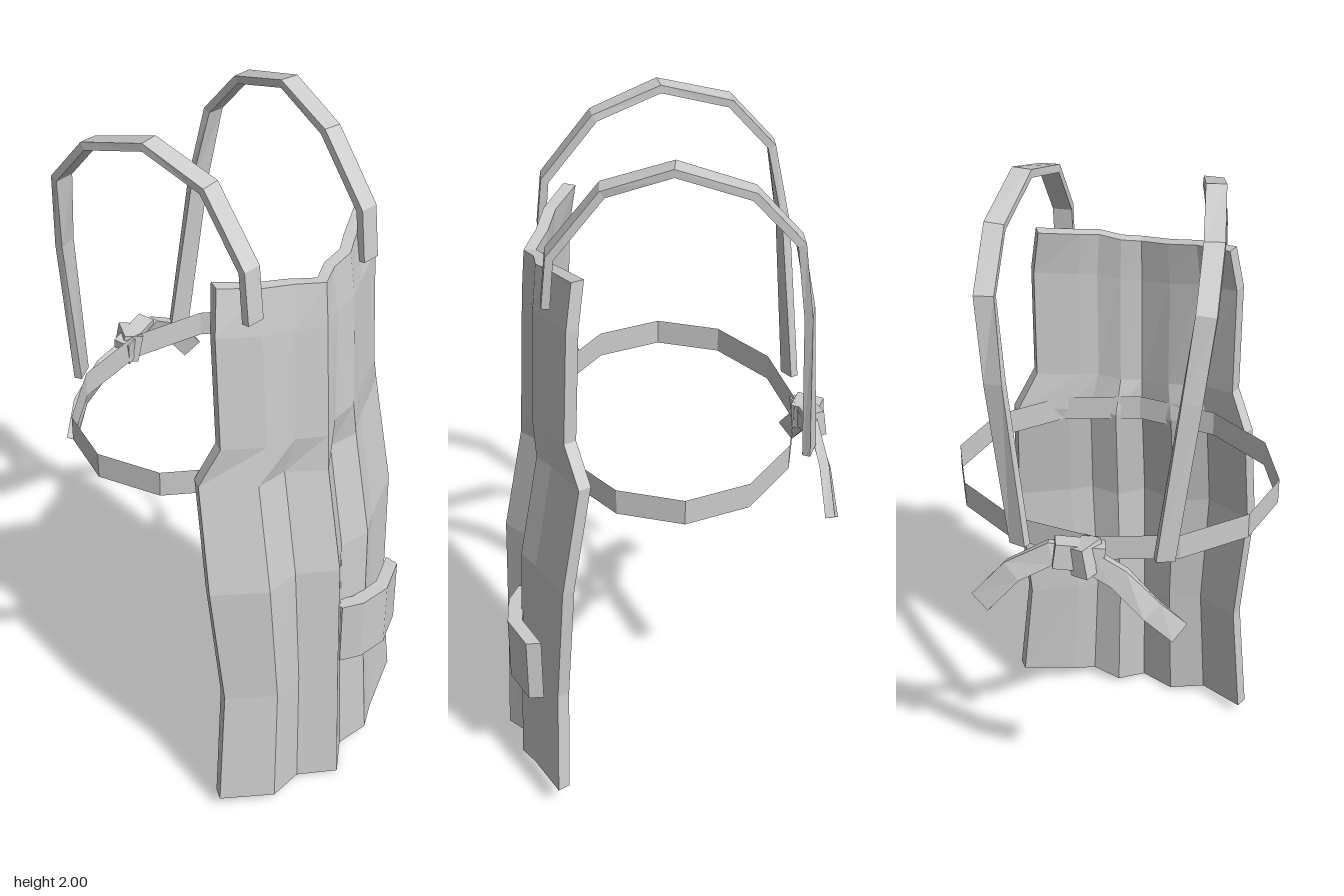
import * as THREE from 'three';

const V = (x, y, z) => new THREE.Vector3(x, y, z);
const lerp = THREE.MathUtils.lerp;

// Skin closed rings of points (front half, then back half reversed) and cap both ends
function loft(rings) {
  const pos = [];
  const quad = (a, b, c, d) => [a, b, c, a, c, d].forEach(p => pos.push(p.x, p.y, p.z));
  const m = rings[0].length;
  for (let j = 0; j < rings.length - 1; j++) {
    for (let i = 0; i < m; i++) {
      const k = (i + 1) % m;
      quad(rings[j][i], rings[j][k], rings[j + 1][k], rings[j + 1][i]);
    }
  }
  const first = rings[0], last = rings[rings.length - 1];
  for (let i = 0; i < m / 2 - 1; i++) {
    quad(last[i], last[i + 1], last[m - 2 - i], last[m - 1 - i]);
    quad(first[m - 1 - i], first[m - 2 - i], first[i + 1], first[i]);
  }
  const g = new THREE.BufferGeometry();
  g.setAttribute('position', new THREE.Float32BufferAttribute(pos, 3));
  g.computeVertexNormals();
  return g;
}

// Flat band along a path; widthAt(i) gives the direction of its width
function band(points, width, thick, widthAt) {
  return loft(points.map((p, i) => {
    const a = points[Math.max(i - 1, 0)], b = points[Math.min(i + 1, points.length - 1)];
    const t = b.clone().sub(a).normalize();
    const w = widthAt(i).clone();
    w.addScaledVector(t, -w.dot(t)).normalize();
    const n = t.clone().cross(w).multiplyScalar(thick / 2);
    w.multiplyScalar(width / 2);
    return [[-1, -1], [1, -1], [1, 1], [-1, 1]].map(([s, q]) =>
      p.clone().addScaledVector(w, s).addScaledVector(n, q));
  }));
}

export function createModel() {
  const group = new THREE.Group();
  const cloth = new THREE.MeshStandardMaterial({ color: 0xcccccc, flatShading: true });
  const beltCloth = cloth;
  const add = (name, geometry, material = cloth) => {
    const mesh = new THREE.Mesh(geometry, material);
    mesh.name = name;
    group.add(mesh);
    return mesh;
  };

  // Apron cloth: columns across, with a smooth bib profile blending into a folded skirt
  const across = [-1, -0.62, -0.3, 0, 0.2, 0.43, 0.6, 1];
  const bib = [0, 0.5, 0.7, 1, 0.78, 0.75, 0.5, 0];
  const skirt = [0, 0.64, 0.54, 1, 0.58, 0.72, 0.46, 0];
  // yLeft, yMiddle, yRight, xLeft, xRight, zEdge, zMiddle, fold
  const rows = [
    [0.04, 0, 0.085, 0.35, 0.39, 0.32, 0.463, 1],
    [0.42, 0.385, 0.42, 0.32, 0.352, 0.31, 0.447, 1],
    [0.81, 0.775, 0.81, 0.352, 0.375, 0.285, 0.435, 0.95],
    [1.14, 1.09, 1.14, 0.337, 0.355, 0.232, 0.378, 0.9],
    [1.25, 1.2, 1.25, 0.29, 0.3, 0.265, 0.372, 0.3],
    [1.58, 1.53, 1.58, 0.292, 0.296, 0.25, 0.355, 0],
    [1.705, 1.655, 1.71, 0.27, 0.275, 0.232, 0.345, 0],
  ];
  add('apronCloth', loft(rows.map(([yl, ym, yr, xl, xr, ze, zm, fold]) => {
    const front = across.map((u, i) => V(
      u * (u < 0 ? xl : xr),
      lerp(ym, u < 0 ? yl : yr, Math.abs(u)),
      lerp(ze, zm, lerp(bib[i], skirt[i], fold))));
    const back = front.map(p => V(p.x * 0.95, p.y, p.z - 0.032)).reverse();
    return front.concat(back);
  })));

  // Curved patch pocket
  const arc = [[0.052, 0.408], [0.11, 0.437], [0.205, 0.442], [0.307, 0.392]];
  add('pocket', loft([0.38, 0.585].map(y => [
    ...arc.map(([x, z]) => V(x, y, z)),
    ...arc.map(([x, z]) => V(x, y, z - 0.042)).reverse(),
  ])));

  // Thin waist belt, a twelve-sided open loop
  const beltMaterial = beltCloth.clone();
  beltMaterial.name = 'belt grey';
  beltMaterial.side = THREE.DoubleSide;
  cloth.name = 'cloth grey';
  const beltShape = new THREE.CylinderGeometry(0.443, 0.443, 0.075, 12, 1, true);
  beltShape.rotateY(Math.PI / 2);
  beltShape.scale(1, 1, 0.345 / 0.443);
  beltShape.translate(0, 1.122, -0.035);
  add('waistBelt', beltShape, beltMaterial);

  // Shoulder straps, mirrored, turning inward as they come down the back
  const path = [
    [0.21, 1.615, 0.297], [0.21, 1.755, 0.283], [0.213, 1.925, 0.15], [0.243, 1.987, -0.022],
    [0.268, 1.93, -0.21], [0.27, 1.8, -0.325], [0.245, 1.58, -0.362], [0.19, 1.12, -0.392],
  ];
  for (const s of [1, -1]) {
    const pts = path.map(([x, y, z]) => V(s * x, y, z));
    add(s > 0 ? 'leftShoulderStrap' : 'rightShoulderStrap',
      band(pts, 0.052, 0.022, i => V(1, 0, s * Math.max(0, i - 5) * 0.25)));
  }

  // Tie knot at the back: a squat wrapped lump with a small loop over it
  const knot = add('knot', new THREE.BoxGeometry(0.13, 0.072, 0.05));
  knot.position.set(0.03, 1.122, -0.412);
  knot.rotation.set(0.1, 0.25, 0.12);
  const wrap = add('knotWrap', new THREE.BoxGeometry(0.055, 0.085, 0.075));
  wrap.position.set(0.01, 1.118, -0.415);
  wrap.rotation.set(0, -0.5, -0.2);

  // Hanging tie ends
  const ties = {
    leftTie: [[0.02, 1.11, -0.4], [0.1, 1.125, -0.42], [0.2, 1.065, -0.437], [0.285, 0.96, -0.447]],
    rightTie: [[0.01, 1.11, -0.41], [-0.08, 1.07, -0.425], [-0.165, 0.985, -0.435], [-0.23, 0.9, -0.405]],
  };
  for (const [name, pts] of Object.entries(ties)) {
    add(name, band(pts.map(p => V(...p)), 0.062, 0.026, () => V(0, 1, 0.25)));
  }
  return group;
}
